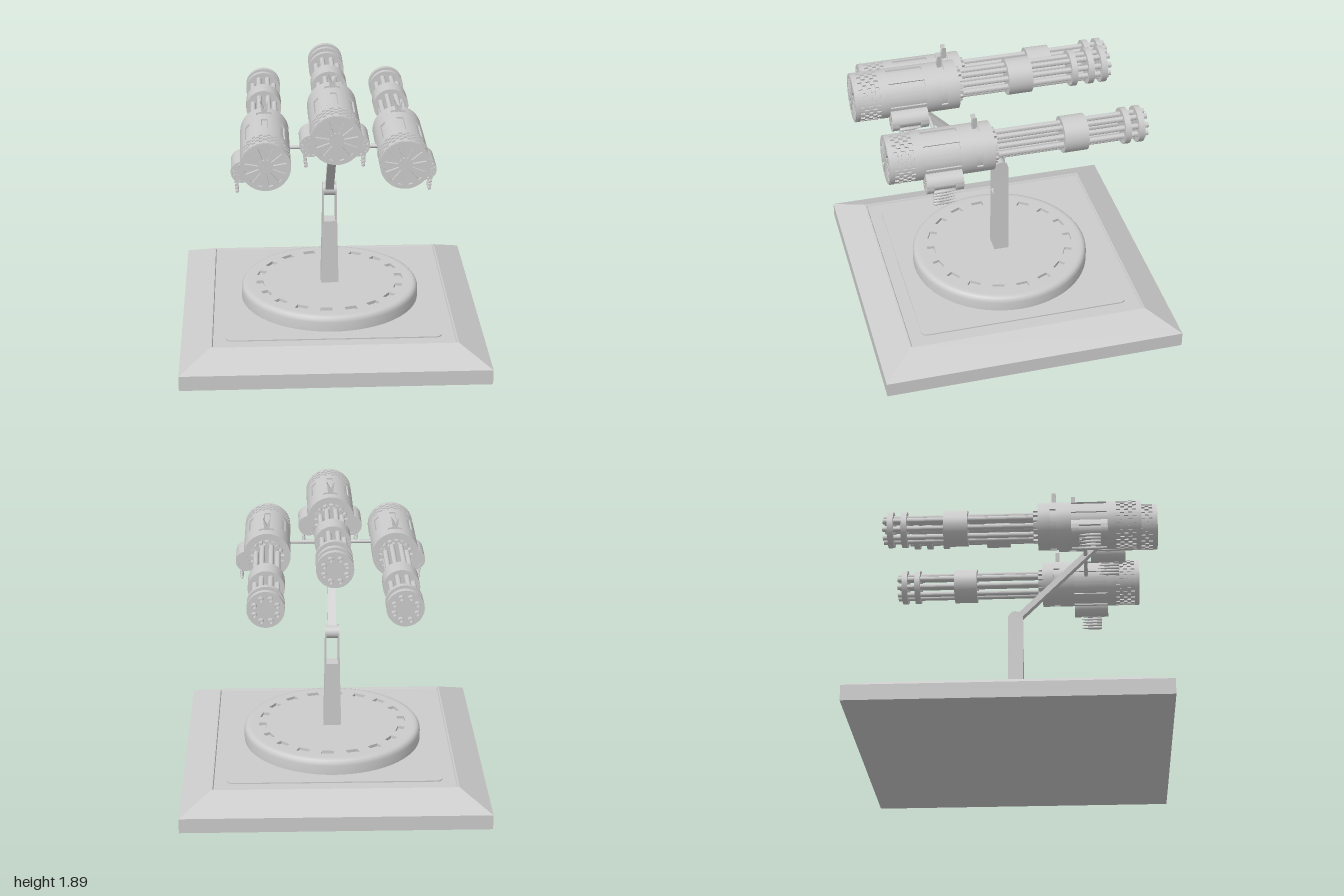
import * as THREE from 'three';
import { mergeGeometries, toCreasedNormals } from 'three/addons/utils/BufferGeometryUtils.js';

const TAU = Math.PI * 2;
const mat = new THREE.MeshStandardMaterial({ color: 0xcccccc });
const V = (x, y) => new THREE.Vector2(x, y);

function add(parent, name, geo, x = 0, y = 0, z = 0) {
  const m = new THREE.Mesh(geo, mat);
  m.name = name;
  m.position.set(x, y, z);
  parent.add(m);
  return m;
}

const crease = (g) => toCreasedNormals(g, 0.6);

// Extrude an xy shape between two z positions
function slab(shape, z0, z1, curveSegments = 24) {
  const g = new THREE.ExtrudeGeometry(shape, { depth: z1 - z0, bevelEnabled: false, curveSegments });
  return crease(g.translate(0, 0, z0));
}

// Solid cylinder along z
function rod(r, z0, z1, seg = 40) {
  const g = new THREE.CylinderGeometry(r, r, z1 - z0, seg).rotateX(Math.PI / 2);
  return g.translate(0, 0, (z0 + z1) / 2);
}

// Unbroken ring along z
function ring(r0, r1, z0, z1) {
  const s = new THREE.Shape().absarc(0, 0, r1, 0, TAU, false);
  s.holes.push(new THREE.Path().absarc(0, 0, r0, 0, TAU, true));
  return slab(s, z0, z1);
}

// Curved block between two angles
function sector(r0, r1, a0, a1, z0, z1) {
  const s = new THREE.Shape().absarc(0, 0, r1, a0, a1, false);
  s.absarc(0, 0, r0, a1, a0, true);
  return slab(s, z0, z1, Math.max(2, Math.ceil((a1 - a0) / 0.14)));
}

// Ring broken into n blocks; the first block is centred on angle start
function brokenRing(r0, r1, z0, z1, n, fill, start = 0) {
  const half = (TAU / n) * fill / 2;
  return mergeGeometries(Array.from({ length: n }, (_, i) => {
    const a = start + (i * TAU) / n;
    return sector(r0, r1, a - half, a + half, z0, z1);
  }));
}

// Disc with radial slots
function slottedDisc(r, n, inner, outer, w0, w1, z0, z1) {
  const s = new THREE.Shape().absarc(0, 0, r, 0, TAU, false);
  for (let i = 0; i < n; i++) {
    const a = ((i + 0.5) * TAU) / n, o = V(0, 0);
    const pts = [V(inner, -w0), V(inner, w0), V(outer, w1), V(outer, -w1)];
    s.holes.push(new THREE.Path(pts.map((p) => p.rotateAround(o, a))));
  }
  return slab(s, z0, z1);
}

function roundedSquare(h, r) {
  const s = new THREE.Shape();
  s.absarc(h - r, h - r, r, 0, TAU / 4);
  s.absarc(r - h, h - r, r, TAU / 4, TAU / 2);
  s.absarc(r - h, r - h, r, TAU / 2, TAU * 0.75);
  s.absarc(h - r, r - h, r, TAU * 0.75, TAU);
  return s;
}

function buildBase(root) {
  const base = new THREE.Group();
  base.name = 'base';
  root.add(base);
  // Square plinth with sloped shoulders and a shallow tray
  const k = Math.SQRT2;
  const profile = [[0, 0], [1, 0], [1, 0.1], [0.8, 0.2], [0.79, 0.2], [0.785, 0.19], [0, 0.19]];
  const plinth = new THREE.LatheGeometry(profile.map(([x, y]) => V(x * k, y)), 4).rotateY(Math.PI / 4);
  add(base, 'plinth', toCreasedNormals(plinth, 0.1));
  add(base, 'floorPlate', slab(roundedSquare(0.7, 0.04), 0.18, 0.198).rotateX(-Math.PI / 2));

  // Turntable with a ring of sunken slots
  const rim = [[0.6, 0.19], [0.6, 0.262], [0.596, 0.28], [0.586, 0.294], [0.57, 0.3], [0.55, 0.3], [0.55, 0.28], [0, 0.28]];
  add(base, 'turntableRim', crease(new THREE.LatheGeometry(rim.map(([x, y]) => V(x, y)), 64)));
  const deck = new THREE.Shape().absarc(0, 0, 0.55, 0, TAU, false);
  for (let i = 0; i < 18; i++) {
    const pts = [V(0.45, -0.04), V(0.45, 0.04), V(0.5, 0.04), V(0.5, -0.04)];
    deck.holes.push(new THREE.Path(pts.map((p) => p.rotateAround(V(0, 0), ((i + 0.25) * TAU) / 18))));
  }
  add(base, 'turntableDeck', slab(deck, 0.275, 0.3, 32).rotateX(-Math.PI / 2));
}

function buildStand(root) {
  const stand = new THREE.Group();
  stand.name = 'stand';
  root.add(stand);
  // Tapered post ending in a fork
  const half = [[0.06, 0.3], [0.05, 0.75], [0.048, 0.965], [0.038, 0.965], [0.038, 0.75]];
  const outline = [...half.map(([x, y]) => V(x, y)), ...half.reverse().map(([x, y]) => V(-x, y))];
  add(stand, 'post', slab(new THREE.Shape(outline), -0.05, 0.05));
  for (const s of [-1, 1]) {
    add(stand, 'forkEye', new THREE.CylinderGeometry(0.05, 0.05, 0.01, 32).rotateZ(Math.PI / 2), s * 0.043, 0.965, 0);
  }
  add(stand, 'pivot', new THREE.CylinderGeometry(0.042, 0.042, 0.076, 32).rotateZ(Math.PI / 2), 0, 0.965, 0);
  // Arm leaning forward at 45 degrees
  const arm = add(stand, 'arm', new THREE.BoxGeometry(0.055, 0.8, 0.04), 0, 1.248, 0.283);
  arm.rotation.x = Math.PI / 4;
  add(stand, 'crossbar', new THREE.CylinderGeometry(0.013, 0.013, 0.64, 20).rotateZ(Math.PI / 2), 0, 1.44, 0.475);
}

// Ammunition drum with a feed window and hanging cartridges; side is +1 or -1 in x
function buildDrum(side) {
  const drum = new THREE.Group();
  drum.name = 'ammoDrum';
  add(drum, 'drumCore', rod(0.053, -0.44, -0.225, 32));
  add(drum, 'drumRearFace', slottedDisc(0.07, 12, 0.025, 0.06, 0.002, 0.006, -0.24, -0.22));
  add(drum, 'drumRearShell', ring(0.05, 0.07, -0.265, -0.24));
  add(drum, 'drumFrontShell', ring(0.05, 0.07, -0.455, -0.405));
  add(drum, 'drumFrontFace', rod(0.06, -0.452, -0.43, 32));
  const gap = side > 0 ? -0.7 : Math.PI + 0.7;
  add(drum, 'drumWindowShell', sector(0.05, 0.07, gap + 0.8, gap + TAU - 0.8, -0.405, -0.265));
  // Neck joining the drum to the gun body
  const neck = add(drum, 'drumNeck', new THREE.BoxGeometry(0.1, 0.07, 0.2), -side * 0.05, 0.04, -0.338);
  neck.rotation.z = -side * 0.67;
  const shell = [[0, 0.07], [0.009, 0.07], [0.011, 0.065], [0.011, -0.02], [0.007, -0.032], [0.006, -0.05], [0, -0.075]];
  const cartridge = crease(new THREE.LatheGeometry(shell.reverse().map(([x, y]) => V(x, y)), 14).rotateX(Math.PI / 2));
  for (let i = 0; i < 5; i++) {
    add(drum, 'cartridge', cartridge, side * (0.04 - 0.002 * i), -0.055 - 0.023 * i, -0.335);
  }
  add(drum, 'beltLink', new THREE.BoxGeometry(0.008, 0.11, 0.03), side * 0.036, -0.1, -0.315);
  return drum;
}

// Rotary gun: rear face at z = 0, barrels pointing to -z
function buildGun(collarZ, clampZ, drumSides) {
  const gun = new THREE.Group();
  gun.name = 'rotaryGun';
  const R = 0.157, IN = 0.146;
  add(gun, 'bodyCore', rod(IN, -0.67, -0.02, 48));
  add(gun, 'rearFace', slottedDisc(0.153, 12, 0.045, 0.13, 0.005, 0.013, -0.02, 0));
  add(gun, 'rearRim', ring(0.14, R, -0.033, -0.004));
  // Staggered cooling vents
  for (let i = 0; i < 5; i++) {
    const z = -0.033 - i * 0.026;
    add(gun, 'ventRow', brokenRing(IN - 0.004, R, z - 0.026, z, 20, 0.55, ((i % 2) * TAU) / 40));
  }
  add(gun, 'bodyBand', ring(0.14, R, -0.225, -0.163));
  // Long recessed panels
  add(gun, 'panelBand', brokenRing(0.14, R, -0.455, -0.225, 8, 0.66, TAU / 16));
  add(gun, 'bodyBand', ring(0.14, R, -0.555, -0.455));
  // Short slots around the nose
  add(gun, 'slotBand', brokenRing(0.14, R, -0.595, -0.555, 4, 0.6, TAU / 8));
  add(gun, 'bodyBand', ring(0.13, R, -0.675, -0.595));

  // Notched sight
  const sight = new THREE.Shape([[-0.016, 0.15], [0.016, 0.15], [0.026, 0.235], [0, 0.185], [-0.026, 0.235]].map(([x, y]) => V(x, y)));
  add(gun, 'sight', slab(sight, -0.585, -0.557));

  // Toothed hub and barrels
  add(gun, 'hub', rod(0.09, -0.705, -0.66));
  add(gun, 'hubTeeth', brokenRing(0.07, 0.112, -0.705, -0.66, 16, 0.55));
  const bore = [[0, -1.64], [0.01, -1.64], [0.01, -1.697], [0.018, -1.697], [0.018, -0.69]];
  const barrel = crease(new THREE.LatheGeometry(bore.map(([x, y]) => V(x, y)), 16).rotateX(Math.PI / 2));
  for (let i = 0; i < 8; i++) {
    const a = ((i + 0.5) * TAU) / 8;
    add(gun, 'barrel', barrel, 0.077 * Math.cos(a), 0.077 * Math.sin(a), 0);
  }
  add(gun, 'barrelCollar', rod(0.118, collarZ - 0.158, collarZ));
  for (const z of clampZ) add(gun, 'barrelClamp', rod(0.118, z - 0.038, z));

  for (const s of drumSides) {
    const drum = buildDrum(s);
    drum.position.set(s * 0.147, -0.114, 0);
    gun.add(drum);
  }
  return gun;
}

export function createModel() {
  const root = new THREE.Group();
  root.name = 'tripleGunTurret';
  buildBase(root);
  buildStand(root);

  const middle = buildGun(-1.007, [-1.427, -1.54, -1.627], [-1, 1]);
  middle.name = 'middleGun';
  middle.position.set(0, 1.655, 0.968);
  root.add(middle);
  for (const s of [-1, 1]) {
    const gun = buildGun(-1.137, [-1.537, -1.627], [s]);
    gun.name = s > 0 ? 'leftGun' : 'rightGun';
    gun.position.set(s * 0.43, 1.445, 0.845);
    root.add(gun);
  }
  return root;
}
